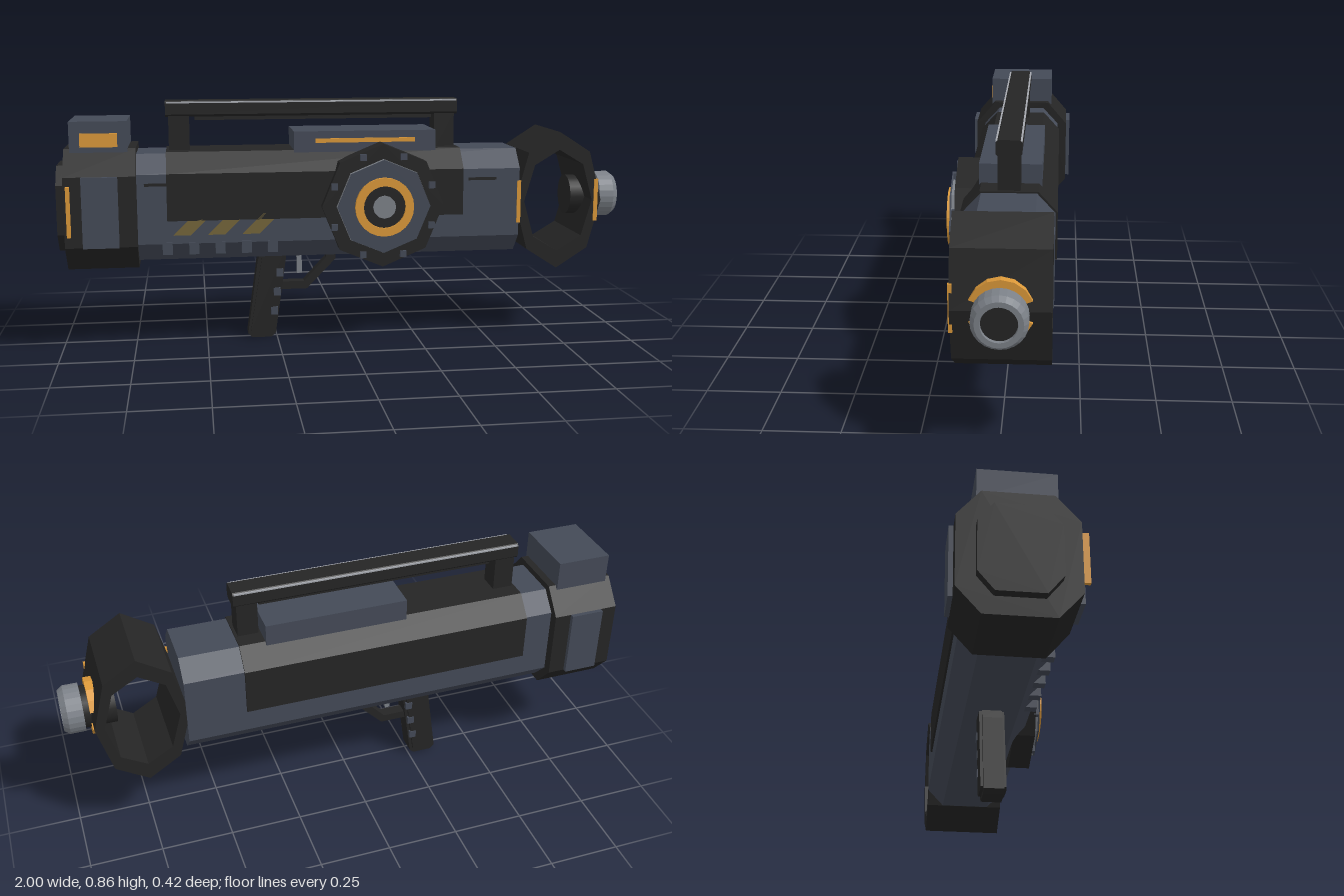
import * as THREE from 'three';

const mat = (name, color) => {
  const m = new THREE.MeshStandardMaterial({ color });
  m.name = name;
  return m;
};

const CY = 0.495, CZ = -0.01; // bore axis

export function createModel() {
  const black = mat('matte black', 0x252525);
  const slate = mat('slate', 0x444a57);
  const orange = mat('orange', 0xdb9839);
  const metal = mat('metal', 0x7c8188);
  const olive = mat('hazard olive', 0x74653a);
  const pale = mat('pale edge', 0xa4a7ad);

  const root = new THREE.Group();
  root.name = 'launcher';
  const add = (name, geo, material, parent = root) => {
    const m = new THREE.Mesh(geo, material);
    m.name = name;
    parent.add(m);
    return m;
  };
  // box given by its limits on each axis
  const box = (name, material, x0, x1, y0, y1, z0, z1) => {
    const g = new THREE.BoxGeometry(x1 - x0, y1 - y0, z1 - z0);
    g.translate((x0 + x1) / 2, (y0 + y1) / 2, (z0 + z1) / 2);
    return add(name, g, material);
  };
  const polygon = (pts) => new THREE.Shape(pts.map(([x, y]) => new THREE.Vector2(x, y)));
  const extrude = (shape, depth) =>
    new THREE.ExtrudeGeometry(shape, { depth, bevelEnabled: false, curveSegments: 24 });
  // prism along x from a section symmetric in z
  const alongX = (name, material, pts, x0, x1, y = CY, z = CZ) => {
    const g = extrude(polygon(pts), x1 - x0);
    g.rotateY(Math.PI / 2);
    g.translate(x0, y, z);
    return add(name, g, material);
  };
  // prism along z from a side outline
  const alongZ = (name, material, shape, z0, z1) =>
    add(name, extrude(shape, z1 - z0).translate(0, 0, z0), material);
  const octagon = (hz, hy, cz, cy) => [
    [hz, -cy], [hz, cy], [cz, hy], [-cz, hy], [-hz, cy], [-hz, -cy], [-cz, -hy], [cz, -hy]];
  const ngon = (n, rx, ry, x, y) => Array.from({ length: n }, (_, i) => {
    const a = (i / n) * Math.PI * 2;
    return [x + rx * Math.cos(a), y + ry * Math.sin(a)];
  });

  // main tube, upper cover and rear housing
  alongX('bodyTube', slate, octagon(0.15, 0.185, 0.09, 0.12), -0.74, 0.605);
  alongX('upperCover', black,
    [[0.157, -0.04], [0.157, 0.122], [0.095, 0.19], [-0.095, 0.19], [-0.157, 0.122], [-0.157, -0.04]],
    -0.63, 0.4);
  alongX('rearHousing', black, octagon(0.185, 0.207, 0.11, 0.12), -0.97, -0.73);
  alongX('rearCap', black, octagon(0.125, 0.147, 0.075, 0.085), -1, -0.97);
  for (const s of [-1, 1]) {
    const z = CZ + s * 0.1875;
    box('housingPanel', slate, -0.91, -0.79, 0.375, 0.615, z - 0.012, z + 0.012);
  }
  box('rearLight', orange, -0.96, -0.948, 0.415, 0.585, 0.17, 0.197);

  // sight box on the rear housing
  box('sightBox', slate, -0.95, -0.757, 0.69, 0.795, -0.133, 0.112);
  box('sightWindow', orange, -0.915, -0.79, 0.708, 0.755, 0.11, 0.116);

  // top module and its light strip
  box('topModule', slate, -0.19, 0.31, 0.67, 0.75, -0.115, 0.092);
  box('topModuleStrip', orange, -0.115, 0.235, 0.71, 0.725, 0.09, 0.096);

  // carry handle
  alongX('handleBar', black, octagon(0.042, 0.0275, 0.034, 0.0195), -0.63, 0.4, 0.8275);
  box('handleLip', black, -0.53, 0.31, 0.787, 0.802, -0.035, 0.015);
  for (const x of [-0.62, 0.318]) box('handlePost', black, x, x + 0.072, 0.67, 0.81, -0.047, 0.027);
  for (const s of [-1, 1]) {
    const z = CZ + s * 0.039;
    box('handleEdge', pale, -0.625, 0.395, 0.847, 0.852, z - 0.004, z + 0.004);
  }

  // muzzle frame, an open octagon
  const frame = polygon(ngon(8, 0.158, 0.245, 0.75, CY));
  frame.holes.push(new THREE.Path(ngon(8, 0.125, 0.182, 0.75, CY).map(([x, y]) => new THREE.Vector2(x, y))));
  alongZ('muzzleFrame', black, frame, -0.157, 0.138);
  for (const x of [0.604, 0.888]) box('frameStrip', orange, x - 0.007, x + 0.007, 0.42, 0.57, 0.13, 0.142);

  // muzzle nozzle
  const barrel = (name, material, r, x0, x1) => {
    const g = new THREE.CylinderGeometry(r, r, x1 - x0, 24);
    g.rotateZ(-Math.PI / 2);
    g.translate((x0 + x1) / 2, CY, CZ);
    return add(name, g, material);
  };
  barrel('nozzleCore', black, 0.072, 0.822, 0.94);
  barrel('nozzleBore', black, 0.053, 0.93, 0.988);
  const lathe = (pts) => new THREE.LatheGeometry(pts.map(([r, y]) => new THREE.Vector2(r, y)), 24)
    .toNonIndexed();
  const collar = lathe([[0.054, 0.93], [0.083, 0.93], [0.083, 0.982], [0.07, 1], [0.054, 1], [0.054, 0.93]]);
  collar.computeVertexNormals();
  collar.rotateZ(-Math.PI / 2);
  collar.translate(0, CY, CZ);
  add('nozzleCollar', collar, metal);
  for (const flip of [0, Math.PI]) {
    const a = 0.36, arc = new THREE.Shape();
    for (let i = 0; i <= 6; i++) {
      const t = flip + a + (i / 6) * (Math.PI - 2 * a);
      arc[i ? 'lineTo' : 'moveTo'](0.098 * Math.cos(t), 0.098 * Math.sin(t));
    }
    for (let i = 6; i >= 0; i--) {
      const t = flip + a + (i / 6) * (Math.PI - 2 * a);
      arc.lineTo(0.07 * Math.cos(t), 0.07 * Math.sin(t));
    }
    const g = extrude(arc, 0.03);
    g.rotateY(Math.PI / 2);
    g.translate(0.88, CY, CZ);
    add('nozzleArc', g, orange);
  }

  // side drum with bolts and rings
  const WX = 0.11, WY = 0.497;
  alongZ('drumBase', black, polygon(ngon(8, 0.213, 0.215, WX, WY)), 0.1, 0.177);
  alongZ('drumRim', metal, polygon(ngon(8, 0.163, 0.163, WX, WY)), 0.17, 0.192);
  alongZ('drumFace', slate, polygon(ngon(8, 0.162, 0.162, WX, WY)), 0.19, 0.198);
  const ring = polygon(ngon(24, 0.102, 0.102, WX, WY));
  ring.holes.push(new THREE.Path(ngon(24, 0.073, 0.073, WX, WY).map(([x, y]) => new THREE.Vector2(x, y))));
  alongZ('drumRing', orange, ring, 0.195, 0.212);
  alongZ('drumWell', black, polygon(ngon(24, 0.074, 0.074, WX, WY)), 0.19, 0.202);
  alongZ('drumHub', metal, polygon(ngon(12, 0.04, 0.04, WX, WY)), 0.195, 0.208);
  for (let i = 0; i < 8; i++) {
    const a = (i + 0.5) * Math.PI / 4;
    const x = WX + 0.184 * Math.cos(a), y = WY + 0.184 * Math.sin(a);
    box('drumBolt', slate, x - 0.011, x + 0.011, y - 0.011, y + 0.011, 0.17, 0.188);
  }

  // hazard stripes, cooling teeth and slots
  for (let i = 0; i < 3; i++) {
    const x = -0.61 + i * 0.118;
    alongZ('hazardStripe', olive,
      polygon([[x, 0.405], [x + 0.058, 0.405], [x + 0.13, 0.475], [x + 0.07, 0.475]]), 0.138, 0.147);
  }
  for (let i = 0; i < 5; i++) {
    const x = -0.648 + i * 0.09;
    box('coolingTooth', slate, x, x + 0.034, 0.338, 0.38, 0.1, 0.145);
  }
  for (const x of [-0.705, 0.42]) box('sideSlot', black, x, x + 0.1, 0.575, 0.585, 0.135, 0.142);

  // pistol grip with side ridges
  alongZ('grip', black, polygon([[-0.355, 0.015], [-0.34, 0], [-0.27, 0], [-0.255, 0.015],
    [-0.212, 0.32], [-0.305, 0.32], [-0.318, 0.28]]), -0.043, 0.024);
  alongZ('gripSides', black, polygon([[-0.345, 0.025], [-0.335, 0.015], [-0.275, 0.015], [-0.265, 0.025],
    [-0.224, 0.31], [-0.3, 0.31]]), -0.052, 0.032);
  for (let i = 0; i < 3; i++) {
    const y = 0.085 + i * 0.07, x = -0.272 + i * 0.01;
    box('gripRidge', slate, x, x + 0.025, y, y + 0.028, -0.055, 0.036);
  }

  // trigger and guard
  alongZ('triggerGuard', black, polygon([[-0.25, 0.172], [-0.14, 0.172], [-0.035, 0.28], [-0.035, 0.32],
    [-0.07, 0.32], [-0.07, 0.285], [-0.15, 0.2], [-0.25, 0.2]]), -0.03, 0.01);
  box('trigger', metal, -0.175, -0.157, 0.228, 0.32, -0.02, 0);

  return root;
}
